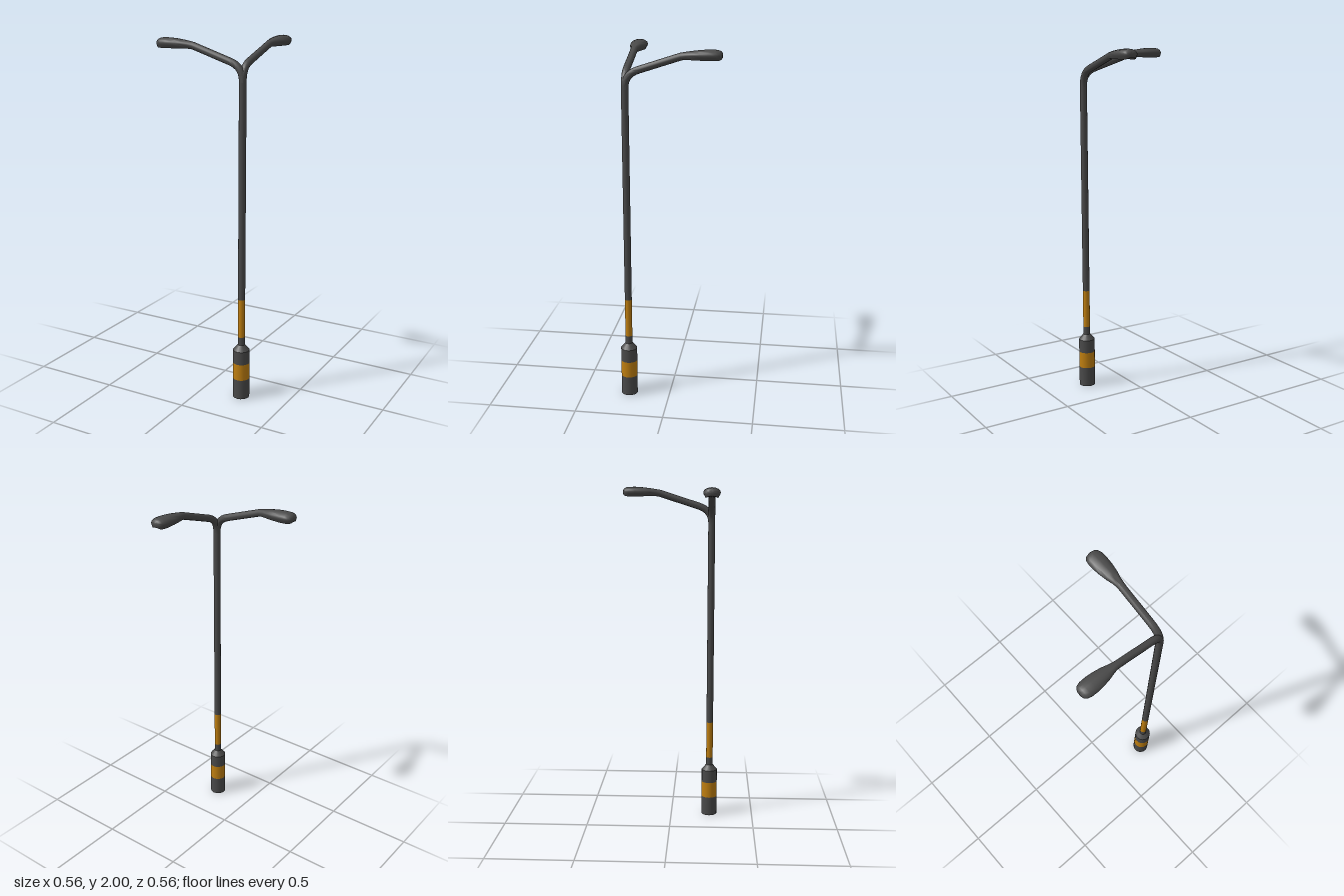
import * as THREE from 'three';
import { toCreasedNormals } from 'three/addons/utils/BufferGeometryUtils.js';

const dark = new THREE.MeshStandardMaterial({ color: 0x4a4a4a });
const orange = new THREE.MeshStandardMaterial({ color: 0xc07f10 });
const SIDES = 16;

// Loft cross-sections: [distance out, height, tilt, half width, half height, underside recess]
function loft(sections) {
  const pos = [], idx = [];
  for (const [s, y, tilt, w, h, recess] of sections) {
    for (let j = 0; j < SIDES; j++) {
      const a = (j / SIDES) * Math.PI * 2;
      let up = Math.sin(a) * h;
      if (recess > 0 && Math.sin(a) < -0.6) up = -h; // flat rim of the lamp
      if (recess > 0 && Math.sin(a) < -0.9) up = -h + recess; // sunken lens
      pos.push(s - Math.sin(tilt) * up, y + Math.cos(tilt) * up, Math.cos(a) * w);
    }
  }
  const n = sections.length;
  for (let i = 0; i < n - 1; i++) {
    for (let j = 0; j < SIDES; j++) {
      const k = (j + 1) % SIDES, A = i * SIDES, B = A + SIDES;
      idx.push(A + j, B + j, A + k, B + j, B + k, A + k);
    }
  }
  // close the tip
  const [s, y] = sections[n - 1], E = (n - 1) * SIDES;
  pos.push(s, y, 0);
  for (let j = 0; j < SIDES; j++) idx.push(n * SIDES, E + (j + 1) % SIDES, E + j);
  const g = new THREE.BufferGeometry();
  g.setAttribute('position', new THREE.Float32BufferAttribute(pos, 3));
  g.setIndex(idx);
  return toCreasedNormals(g, 0.75);
}

// Curved arm that swells into the lamp head, running along +x
function makeArm(name) {
  const slope = Math.atan(0.32), R = 0.0198;
  const sections = [[0, 1.72, Math.PI / 2, R, R, 0]];
  const bend = new THREE.CubicBezierCurve3(
    new THREE.Vector3(0, 1.785, 0), new THREE.Vector3(0, 1.84, 0),
    new THREE.Vector3(0.022, 1.872, 0), new THREE.Vector3(0.075, 1.889, 0));
  for (let i = 0; i <= 8; i++) {
    const p = bend.getPoint(i / 8), t = bend.getTangent(i / 8);
    sections.push([p.x, p.y, Math.atan2(t.y, t.x), R, R, 0]);
  }
  sections.push(
    [0.27, 1.952, slope, R, R, 0],
    [0.298, 1.961, 0.25, 0.021, 0.02, 0],
    [0.325, 1.966, 0.1, 0.026, 0.02, 0.002],
    [0.36, 1.969, 0, 0.036, 0.0225, 0.008],
    [0.4, 1.971, 0, 0.043, 0.0255, 0.012],
    [0.445, 1.972, 0, 0.047, 0.0275, 0.013],
    [0.48, 1.972, 0, 0.046, 0.027, 0.012],
    [0.5, 1.971, 0, 0.04, 0.025, 0.008],
    [0.511, 1.97, 0, 0.03, 0.019, 0.002],
    [0.516, 1.969, 0, 0.017, 0.011, 0]);
  const m = new THREE.Mesh(loft(sections), dark);
  m.name = name;
  return m;
}

export function createModel() {
  const model = new THREE.Group();
  model.name = 'streetLamp';
  const lamp = new THREE.Group();
  lamp.name = 'lampPost';
  lamp.position.set(0.235, 0, 0.235);
  model.add(lamp);

  // Stacked post: name, bottom, top, bottom radius, top radius, material, open ended
  const B = 0.047, P = 0.02;
  const parts = [
    ['baseLower', 0, 0.115, B, B, dark, false],
    ['baseBand', 0.115, 0.21, B, B, orange, true],
    ['baseUpper', 0.21, 0.287, B, B, dark, true],
    ['baseShoulder', 0.287, 0.318, B, P, dark, true],
    ['poleFoot', 0.318, 0.365, P, P, dark, true],
    ['poleBand', 0.365, 0.588, P, P, orange, true],
    ['pole', 0.588, 1.785, P, P, dark, true],
  ];
  for (const [name, y0, y1, r0, r1, mat, open] of parts) {
    const m = new THREE.Mesh(new THREE.CylinderGeometry(r1, r0, y1 - y0, SIDES, 1, open), mat);
    m.position.y = (y0 + y1) / 2;
    m.name = name;
    lamp.add(m);
  }

  // Two arms at a right angle
  const sideArm = makeArm('sideArm');
  sideArm.rotation.y = Math.PI;
  const backArm = makeArm('backArm');
  backArm.rotation.y = Math.PI / 2;
  lamp.add(sideArm, backArm);
  return model;
}
